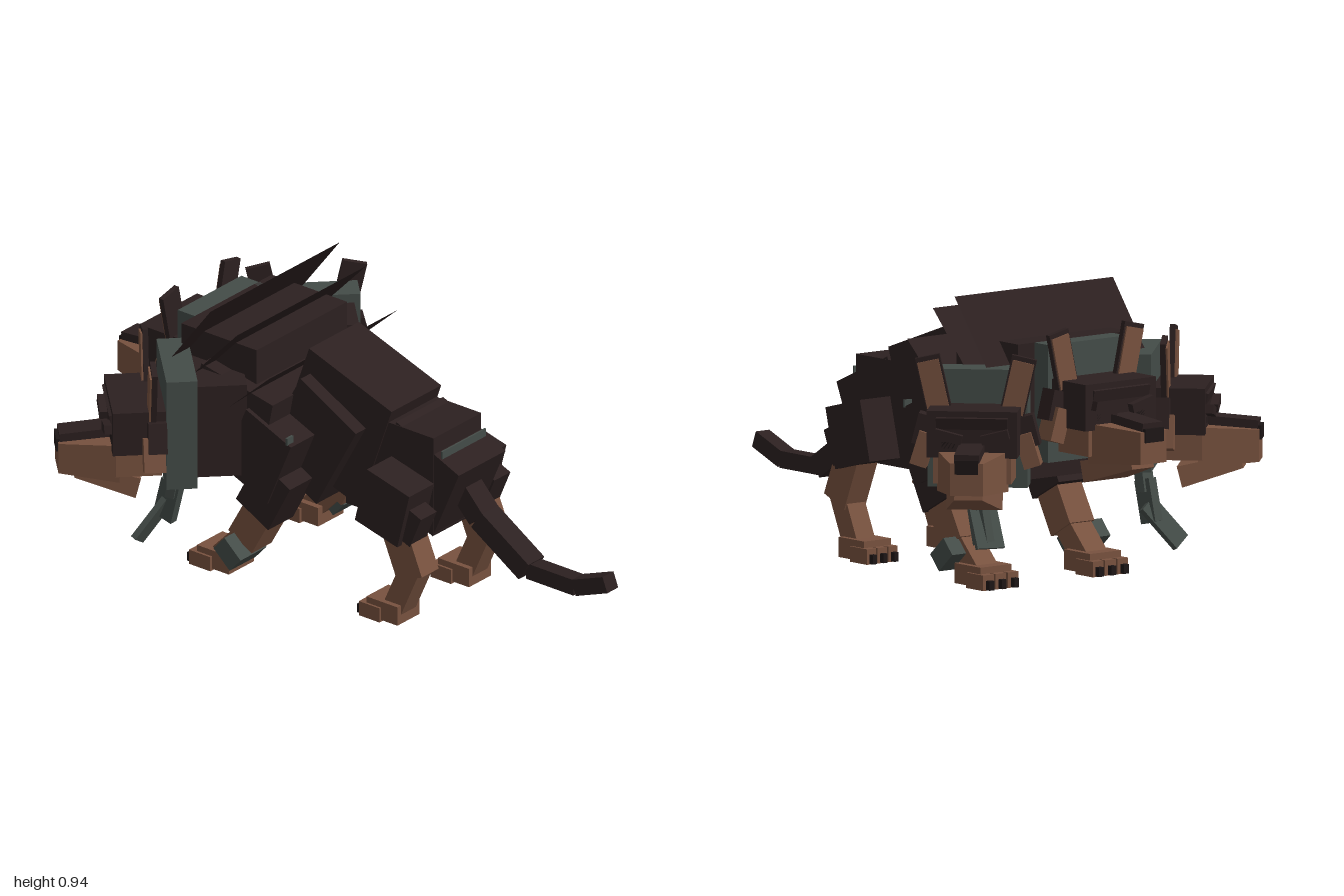
import * as THREE from 'three';

const paint = (name, color) => {
  const m = new THREE.MeshStandardMaterial({ color, flatShading: true });
  m.name = name;
  return m;
};

export function createModel() {
  const dark = paint('dark fur', 0x2c2020);
  const tan = paint('tan fur', 0x78523f);
  const iron = paint('grey iron', 0x444c48);
  const claw = paint('black claw', 0x1d1616);
  const mane = paint('mane', 0x2c2020);
  mane.side = THREE.DoubleSide;

  const root = new THREE.Group();
  root.name = 'threeHeadedHound';

  // box centred at p, sized s, optionally tilted about x (positive lifts the front, -z)
  function box(parent, name, mat, s, p, rx = 0, ry = 0, rz = 0) {
    const m = new THREE.Mesh(new THREE.BoxGeometry(...s), mat);
    m.name = name;
    m.position.set(...p);
    m.rotation.set(rx, ry, rz);
    parent.add(m);
    return m;
  }
  // box whose front end (-z) is narrowed
  function tapered(parent, name, mat, s, p, fx, fy, rx = 0) {
    const m = box(parent, name, mat, s, p, rx);
    const a = m.geometry.attributes.position;
    for (let i = 0; i < a.count; i++)
      if (a.getZ(i) < 0) a.setXY(i, a.getX(i) * fx, a.getY(i) * fy);
    m.geometry.computeVertexNormals();
    return m;
  }
  // limb segment between two [y, z] points at a given x
  function limb(parent, name, mat, x, a, b, w, d) {
    const dy = a[0] - b[0], dz = a[1] - b[1];
    return box(parent, name, mat, [w, Math.hypot(dy, dz), d],
      [x, (a[0] + b[0]) / 2, (a[1] + b[1]) / 2], Math.atan2(dz, dy));
  }

  // Torso
  box(root, 'rump', dark, [0.24, 0.34, 0.36], [0, 0.475, 0.18]);
  box(root, 'rumpFur', dark, [0.235, 0.27, 0.28], [0, 0.475, 0.28], 0.41);
  box(root, 'rumpBand', iron, [0.22, 0.03, 0.006], [0, 0.587, 0.385]);
  box(root, 'backRidge', dark, [0.25, 0.4, 0.36], [0, 0.56, -0.045], 0.34);
  box(root, 'back', dark, [0.35, 0.34, 0.26], [0, 0.51, -0.11], 0.5);
  box(root, 'chest', dark, [0.455, 0.44, 0.31], [0, 0.58, -0.435]);
  box(root, 'ribs', dark, [0.56, 0.32, 0.3], [0, 0.53, -0.35], 0.2);

  // Bristling mane sheets, leaning backwards: width, base y z, tip y z
  const sheets = [[0.65, 0.73, -0.55, 0.94, -0.39], [0.65, 0.7, -0.46, 0.89, -0.28],
    [0.65, 0.62, -0.32, 0.775, -0.15]];
  for (const [w, y0, z0, y1, z1] of sheets) {
    const len = Math.hypot(y1 - y0, z1 - z0);
    const m = new THREE.Mesh(new THREE.PlaneGeometry(w, len), mane);
    m.name = 'maneSheet';
    m.position.set(0, (y0 + y1) / 2, (z0 + z1) / 2);
    m.rotation.x = Math.atan2(z1 - z0, y1 - y0);
    root.add(m);
  }

  // Tail
  const tail = [[0.5, 0.34], [0.36, 0.47], [0.235, 0.665], [0.235, 0.86], [0.285, 0.99]];
  for (let i = 0; i < 4; i++)
    limb(root, 'tailSegment', dark, 0, tail[i], tail[i + 1], i < 2 ? 0.08 : 0.055, i < 2 ? 0.075 : 0.055);

  // Paw with toes and claws
  function paw(name, x, zBack, zFront, w) {
    const g = new THREE.Group();
    g.name = name;
    const len = zBack - zFront;
    box(g, 'foot', tan, [w * 0.85, 0.065, len * 0.75], [x, 0.04, zBack - len * 0.4]);
    for (let i = -1; i <= 1; i++) {
      box(g, 'toe', tan, [w * 0.29, 0.05, len * 0.5], [x + i * w * 0.34, 0.026, zFront + len * 0.33]);
      box(g, 'claw', claw, [w * 0.13, 0.03, len * 0.14], [x + i * w * 0.34, 0.018, zFront + len * 0.05]);
    }
    root.add(g);
  }

  for (const s of [1, -1]) {
    // Hind legs
    const hx = 0.18 * s;
    box(root, 'thigh', dark, [0.125, 0.2, 0.18], [0.182 * s, 0.41, 0.25], 0.25);
    box(root, 'kneeFur', dark, [0.08, 0.12, 0.1], [0.185 * s, 0.37, 0.325], 0.4);
    limb(root, 'hindKnee', tan, hx, [0.36, 0.27], [0.18, 0.345], 0.085, 0.11);
    limb(root, 'hindShin', tan, hx, [0.22, 0.345], [0.04, 0.265], 0.075, 0.075);
    paw('hindPaw', hx, 0.31, 0.14, 0.13);

    // Front legs
    const fx = 0.225 * s;
    box(root, 'upperArm', dark, [0.14, 0.25, 0.2], [0.225 * s, 0.465, -0.225], 0.4);
    box(root, 'shoulderStud', iron, [0.03, 0.025, 0.008], [0.283 * s, 0.557, -0.1]);
    limb(root, 'elbowFur', dark, fx, [0.42, -0.16], [0.25, -0.25], 0.125, 0.15);
    limb(root, 'forearm', tan, fx, [0.29, -0.22], [0.13, -0.31], 0.1, 0.11);
    limb(root, 'foreShin', tan, fx, [0.17, -0.28], [0.035, -0.41], 0.085, 0.08);
    limb(root, 'shackle', iron, fx + 0.035 * s, [0.125, -0.3], [0.075, -0.345], 0.13, 0.09);
    paw('frontPaw', fx, -0.34, -0.515, 0.15);
  }

  // Heads: collar at the origin, muzzle towards local -z
  function head(name, x, y, z, yaw) {
    const g = new THREE.Group();
    g.name = name;
    g.position.set(x, y, z);
    g.rotation.y = yaw;
    box(g, 'neck', dark, [0.28, 0.32, 0.2], [0, 0, 0.1]);
    box(g, 'collar', iron, [0.32, 0.38, 0.1], [0, 0, -0.01]);
    box(g, 'skull', dark, [0.29, 0.15, 0.17], [0, 0.005, -0.145]);
    box(g, 'browRidge', dark, [0.23, 0.045, 0.07], [0, 0.045, -0.2], -0.25);
    box(g, 'face', tan, [0.25, 0.13, 0.15], [0, -0.09, -0.145]);
    tapered(g, 'muzzle', tan, [0.23, 0.13, 0.19], [0, -0.115, -0.3], 0.46, 0.8);
    tapered(g, 'lowerJaw', tan, [0.18, 0.07, 0.2], [0, -0.19, -0.24], 0.5, 0.7, 0.25);
    box(g, 'bridge', dark, [0.08, 0.035, 0.2], [0, -0.045, -0.29], -0.08);
    box(g, 'nose', claw, [0.075, 0.045, 0.03], [0, -0.075, -0.386]);
    for (const s of [1, -1]) {
      box(g, 'ear', dark, [0.08, 0.19, 0.018], [0.135 * s, 0.145, -0.1], 0, 0, -0.22 * s);
      box(g, 'innerEar', tan, [0.07, 0.17, 0.006], [0.135 * s, 0.14, -0.112], 0, 0, -0.22 * s);
      box(g, 'cheekTuft', dark, [0.06, 0.1, 0.06], [0.165 * s, 0, -0.09], 0, 0, 0.25 * s);
      box(g, 'cheekFur', tan, [0.055, 0.11, 0.07], [0.168 * s, -0.06, -0.1], 0, 0, 0.3 * s);
      box(g, 'brow', dark, [0.09, 0.03, 0.04], [0.075 * s, 0, -0.235], 0, 0, 0.25 * s);
      box(g, 'eye', claw, [0.045, 0.02, 0.008], [0.075 * s, -0.03, -0.226]);
    }
    root.add(g);
  }
  head('middleHead', 0, 0.61, -0.6, 0);
  head('leftHead', 0.325, 0.54, -0.515, -Math.PI / 4);
  head('rightHead', -0.325, 0.54, -0.515, Math.PI / 4);

  // Broken chains hanging forward from the side collars
  for (const s of [1, -1]) {
    const g = new THREE.Group();
    g.name = 'brokenChain';
    box(g, 'chainLink', iron, [0.07, 0.12, 0.03], [0.345 * s, 0.32, -0.52], 0.2, 0.4);
    box(g, 'chainLink', iron, [0.03, 0.14, 0.075], [0.345 * s, 0.235, -0.545], 0.25);
    if (s > 0) box(g, 'chainEnd', iron, [0.11, 0.13, 0.012], [0.345, 0.215, -0.575], 0.4, 0, 0.06);
    else box(g, 'chainEnd', iron, [0.07, 0.17, 0.02], [-0.375, 0.165, -0.585], 0.4, 0, -0.6);
    root.add(g);
  }
  return root;
}
